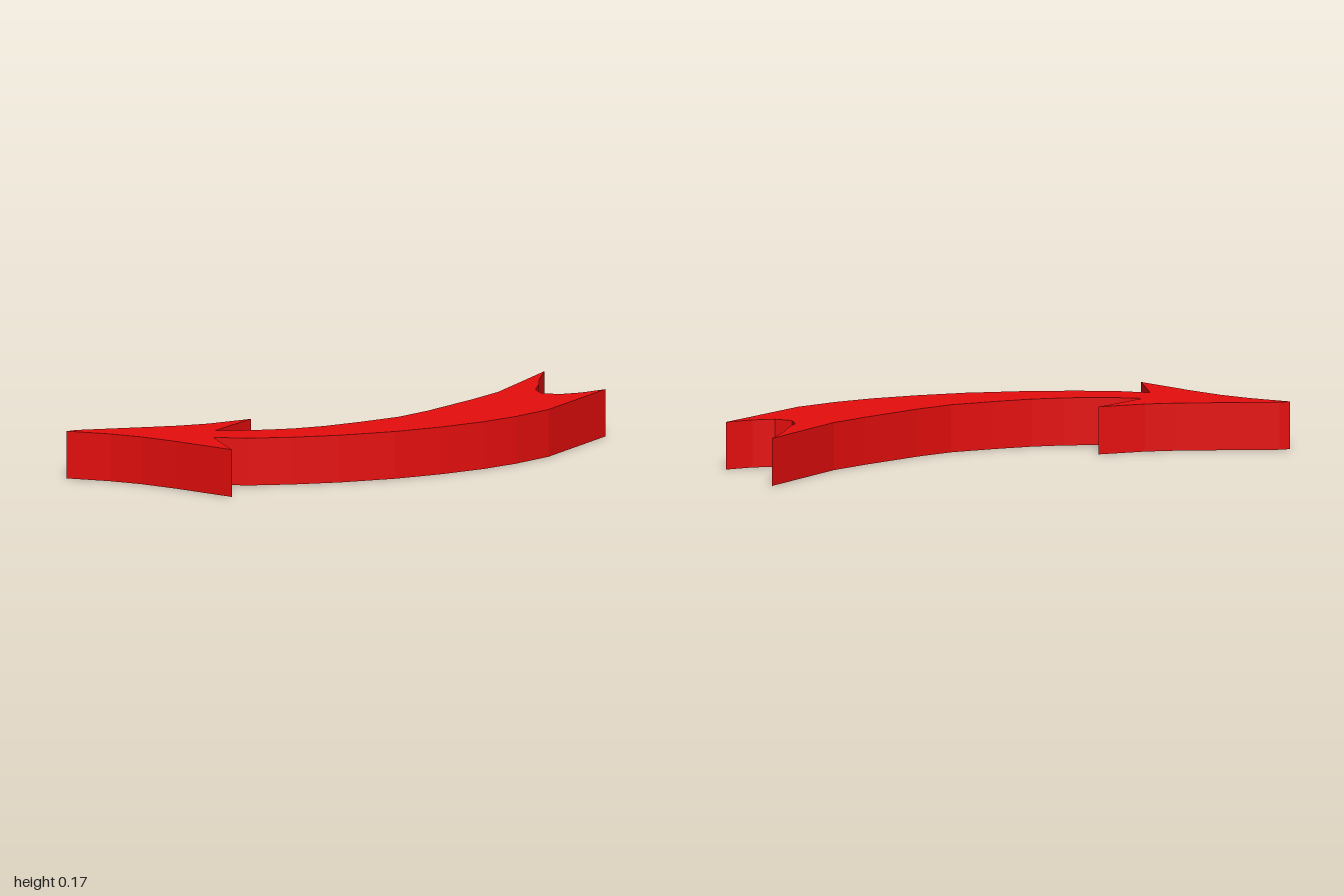
import * as THREE from 'three';

const HEIGHT = 0.167;

// Outline seen from above as [x, z], one run per edge of the arrow
const headBack = [[-1, -0.11], [-0.96, -0.115], [-0.72, -0.066], [-0.61, -0.045], [-0.5, -0.036], [-0.33, -0.053]];
const shaftBack = [
  [-0.52, 0.08], [-0.44, 0.115], [-0.35, 0.14], [-0.26, 0.157], [-0.145, 0.16], [0, 0.143],
  [0.155, 0.115], [0.285, 0.06], [0.51, -0.063], [0.64, -0.143], [0.8, -0.29], [0.93, -0.41],
];
const tailNotch = [
  [0.85, -0.275], [0.82, -0.205], [0.775, -0.13], [0.77, -0.065], [0.82, -0.025], [0.9, -0.02], [1, -0.04],
];
const shaftFront = [
  [0.68, 0.205], [0.53, 0.27], [0.39, 0.31], [0.22, 0.335], [0.045, 0.344],
  [-0.16, 0.327], [-0.33, 0.293], [-0.47, 0.25], [-0.575, 0.19],
];
const headFront = [[-0.6, 0.41], [-0.72, 0.205], [-0.8, 0.085], [-0.88, -0.005]];

export function createModel() {
  const group = new THREE.Group();
  group.name = 'curvedArrow';

  // Flat slab: outline drawn in the ground plane and raised to its thickness
  const outline = [...headBack, ...shaftBack, ...tailNotch, ...shaftFront, ...headFront];
  const shape = new THREE.Shape(outline.map(([x, z]) => new THREE.Vector2(x, -z)));
  const geometry = new THREE.ExtrudeGeometry(shape, { depth: HEIGHT, bevelEnabled: false });
  geometry.rotateX(-Math.PI / 2);

  const red = new THREE.MeshStandardMaterial({ color: 0xe60d0d, flatShading: true });
  const arrow = new THREE.Mesh(geometry, red);
  arrow.name = 'arrowSlab';
  group.add(arrow);
  return group;
}
